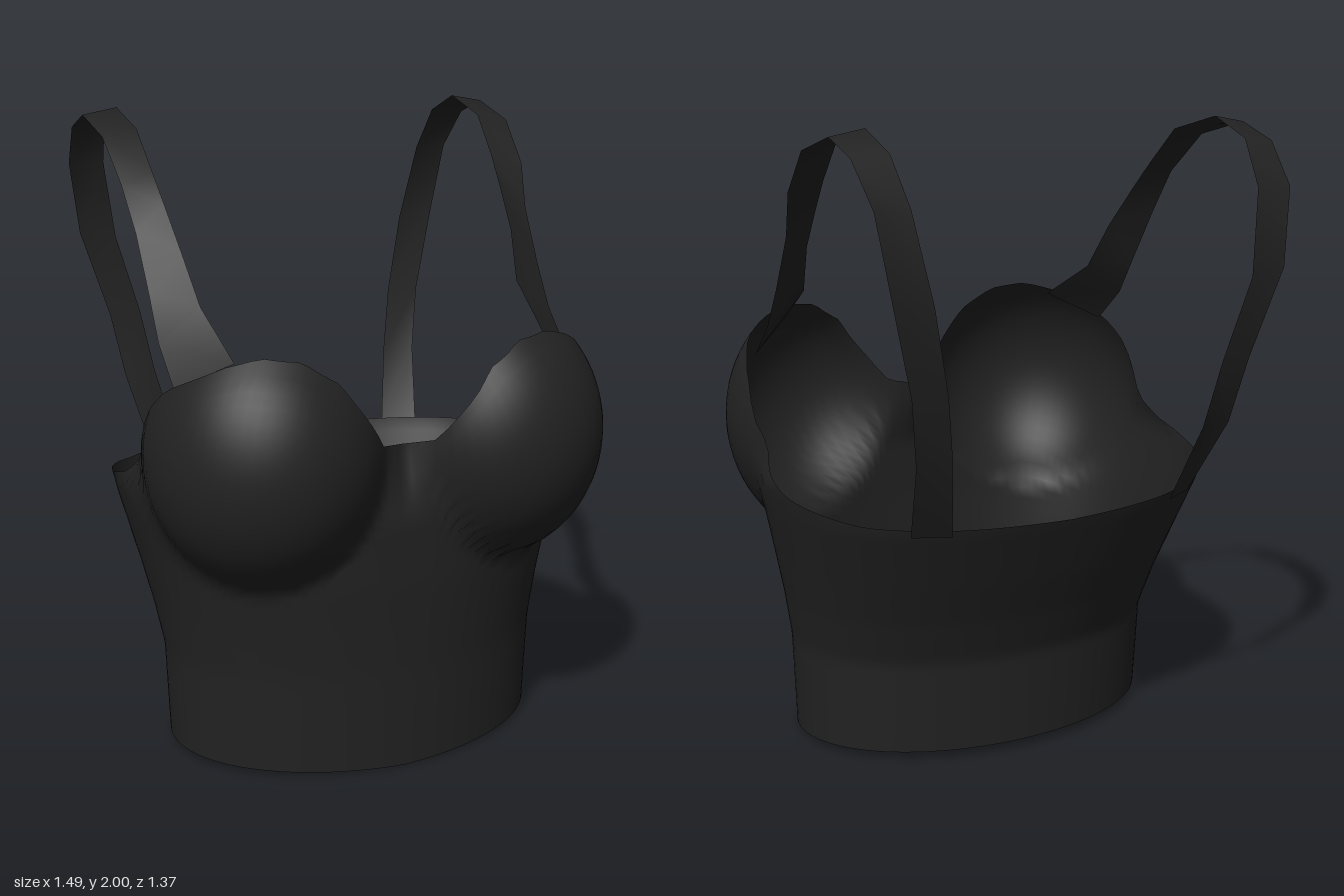
import * as THREE from 'three';

const AXIS_Z = 0.1; // columns fan out around this vertical axis
const COLS = 128, ROWS = 36;

// linear lookup in rows of [key, ...values]
function lookup(table, t, k) {
  let i = 0;
  while (i < table.length - 2 && t > table[i + 1][0]) i++;
  const a = table[i], b = table[i + 1];
  const f = THREE.MathUtils.clamp((t - a[0]) / (b[0] - a[0]), 0, 1);
  return a[k] + (b[k] - a[k]) * f;
}

// torso sections: height, half width, front z, back z, roundness exponent
const TORSO = [
  [0, 0.62, 0.515, -0.33, 2], [0.33, 0.63, 0.522, -0.345, 2.05], [0.48, 0.655, 0.53, -0.4, 2.15],
  [0.62, 0.685, 0.538, -0.46, 2.25], [0.82, 0.73, 0.54, -0.54, 2.4], [0.9, 0.745, 0.53, -0.56, 2.4],
  [1.05, 0.70, 0.515, -0.58, 2.3], [1.37, 0.56, 0.42, -0.6, 2.2],
];

// upper hem: angle from the front, height
const HEM = [
  [0, 1.05], [0.19, 1.06], [0.31, 1.16], [0.475, 1.28], [0.67, 1.35], [0.85, 1.365], [0.98, 1.34],
  [1.26, 1.25], [1.39, 1.17], [1.475, 1.06], [1.557, 0.99], [1.65, 0.93], [1.83, 0.89],
  [2.22, 0.845], [2.6, 0.835], [Math.PI, 0.825],
];

// distance from the axis to the torso wall
function torsoRadius(s, c, y) {
  const w = lookup(TORSO, y, 1), zf = lookup(TORSO, y, 2), zb = lookup(TORSO, y, 3), n = lookup(TORSO, y, 4);
  const mid = (zf + zb) / 2, depth = (zf - zb) / 2;
  let lo = 0, hi = 2;
  for (let i = 0; i < 30; i++) {
    const r = (lo + hi) / 2;
    const f = Math.abs(r * s / w) ** n + Math.abs((AXIS_Z + r * c - mid) / depth) ** n;
    if (f < 1) lo = r; else hi = r;
  }
  return lo;
}

// distance from the axis to the far wall of the ellipsoid cup
const CUP = { x: 0.38, y: 1.02, z: 0.3, rx: 0.365, ry: 0.42, rz: 0.39 };
function cupRadius(s, c, y) {
  const dx = Math.abs(s) / CUP.rx, dz = c / CUP.rz;
  const ox = -CUP.x / CUP.rx, oz = (AXIS_Z - CUP.z) / CUP.rz, oy = (y - CUP.y) / CUP.ry;
  const A = dx * dx + dz * dz, B = ox * dx + oz * dz, C = ox * ox + oz * oz + oy * oy - 1;
  const D = B * B - A * C;
  return D < 0 ? 0 : (-B + Math.sqrt(D)) / A;
}

function bodicePoint(angle, v) {
  const s = Math.sin(angle), c = Math.cos(angle);
  const bottom = 0.03 * Math.abs(Math.sin(angle / 2));
  const y = bottom + (lookup(HEM, Math.abs(angle), 1) - bottom) * v;
  const a = torsoRadius(s, c, y), b = cupRadius(s, c, y);
  // soft join between torso and cup
  const k = 0.03, h = Math.max(k - Math.abs(a - b), 0) / k;
  let r = Math.max(a, b) + h * h * k / 4;
  // pinch between the cups
  if (c > 0) r -= 0.04 * Math.max(0, 1 - Math.abs(r * s) / 0.08) * THREE.MathUtils.smoothstep(y, 0.8, 1.05);
  return [r * s, y, AXIS_Z + r * c];
}

// grid of points to a smooth surface
function gridGeometry(rows, closed) {
  const n = rows[0].length, index = [];
  for (let i = 0; i < rows.length - 1; i++) {
    for (let j = 0; j < (closed ? n : n - 1); j++) {
      const a = i * n + j, b = i * n + (j + 1) % n, c = a + n, d = b + n;
      index.push(a, b, d, a, d, c);
    }
  }
  const g = new THREE.BufferGeometry();
  g.setAttribute('position', new THREE.Float32BufferAttribute(rows.flat(2), 3));
  g.setIndex(index);
  g.computeVertexNormals();
  return g;
}

// strap stations from cup to back: inner edge, outer edge
const STRAP = [
  [[0.51, 1.335, 0.42], [0.66, 1.25, 0.31]],
  [[0.535, 1.46, 0.2], [0.665, 1.36, 0.19]],
  [[0.56, 1.61, 0.11], [0.665, 1.49, 0.11]],
  [[0.575, 1.74, 0], [0.67, 1.66, 0.01]],
  [[0.585, 1.83, -0.08], [0.69, 1.8, -0.06]],
  [[0.595, 1.95, -0.2], [0.705, 1.93, -0.2]],
  [[0.6, 2, -0.4], [0.712, 1.98, -0.4]],
  [[0.6, 1.94, -0.55], [0.712, 1.93, -0.54]],
  [[0.585, 1.8, -0.64], [0.7, 1.8, -0.65]],
  [[0.54, 1.54, -0.685], [0.665, 1.56, -0.68]],
  [[0.475, 1.28, -0.64], [0.585, 1.28, -0.63]],
  [[0.44, 1.07, -0.6], [0.55, 1.07, -0.585]],
  [[0.39, 0.82, -0.505], [0.5, 0.82, -0.45]],
];

export function createModel() {
  const group = new THREE.Group();
  const fabric = new THREE.MeshStandardMaterial({ color: 0x222222, side: THREE.DoubleSide });
  fabric.name = 'black fabric';

  const add = (name, geometry) => {
    const mesh = new THREE.Mesh(geometry, fabric);
    mesh.name = name;
    group.add(mesh);
  };

  // bodice with moulded cups, open at top and bottom
  const rows = [];
  for (let i = 0; i <= ROWS; i++) {
    const row = [];
    for (let j = 0; j < COLS; j++) row.push(bodicePoint((j / COLS * 2 - 1) * Math.PI, i / ROWS));
    rows.push(row);
  }
  add('bodice', gridGeometry(rows, true));

  // shoulder straps, mirrored with the face order kept outward
  add('leftStrap', gridGeometry(STRAP.map(([a, b]) => [b, a]), false));
  add('rightStrap', gridGeometry(STRAP.map((pair) => pair.map(([x, y, z]) => [-x, y, z])), false));
  return group;
}
